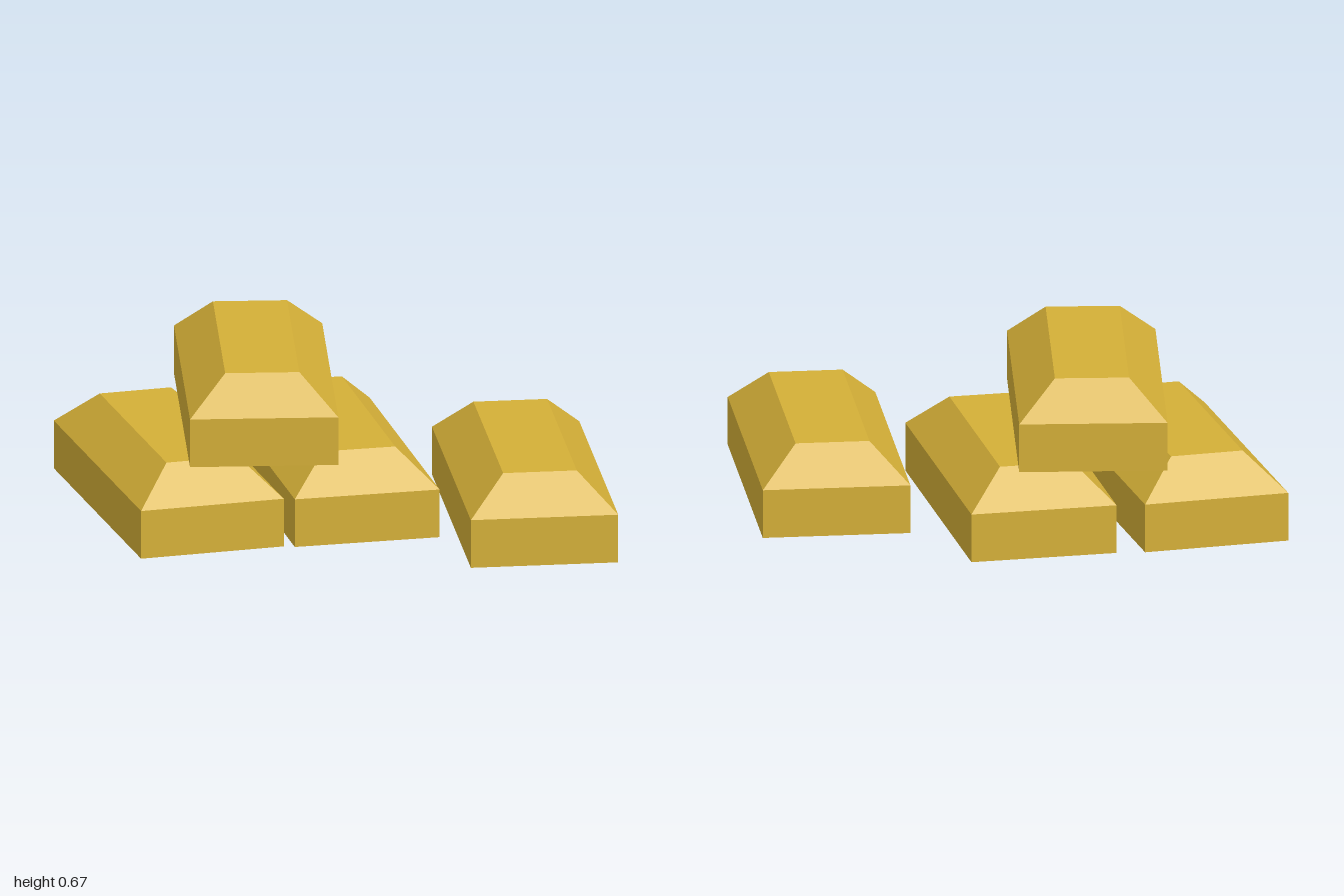
import * as THREE from 'three';

const WIDTH = 0.58, LENGTH = 1.23, HEIGHT = 0.337, SHOULDER = 0.195, INSET = 0.145;

// A box with straight lower walls and a bevelled upper half, flat shaded.
function barGeometry() {
  const box = new THREE.BoxGeometry(WIDTH, HEIGHT, LENGTH, 1, 2, 1);
  box.translate(0, HEIGHT / 2, 0);
  const p = box.attributes.position;
  for (let i = 0; i < p.count; i++) {
    const y = p.getY(i);
    if (y > HEIGHT * 0.75) {
      p.setX(i, p.getX(i) - Math.sign(p.getX(i)) * INSET);
      p.setZ(i, p.getZ(i) - Math.sign(p.getZ(i)) * INSET);
    } else if (y > HEIGHT * 0.25) {
      p.setY(i, SHOULDER);
    }
  }
  const geometry = box.toNonIndexed();
  geometry.computeVertexNormals();
  return geometry;
}

export function createModel() {
  const group = new THREE.Group();
  group.name = 'ingotPile';

  const gold = new THREE.MeshStandardMaterial({ color: 0xd4af37 });
  gold.name = 'gold';
  const geometry = barGeometry();

  // Three bars on the ground and one resting across two of them: x, y, z, turn.
  const bars = [
    ['rightIngot', -0.675, 0, -0.22, 0.057],
    ['middleIngot', -0.02, 0, -0.22, 0],
    ['leftIngot', 0.65, 0, 0.23, -0.1],
    ['topIngot', -0.325, HEIGHT, -0.22, -0.173],
  ];
  for (const [name, x, y, z, turn] of bars) {
    const bar = new THREE.Mesh(geometry, gold);
    bar.name = name;
    bar.position.set(x, y, z);
    bar.rotation.y = turn;
    group.add(bar);
  }
  return group;
}
